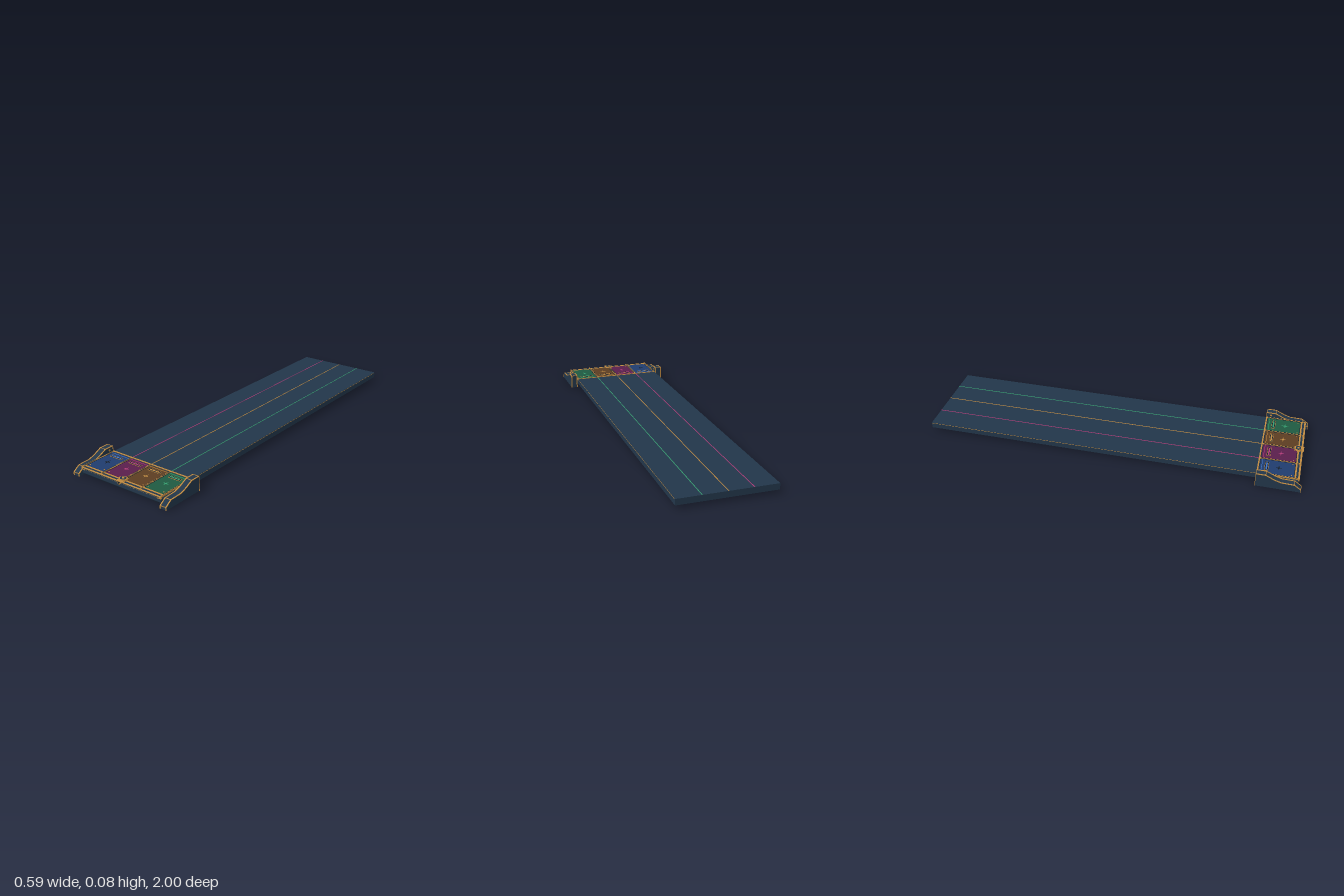
import * as THREE from 'three';
import { RoundedBoxGeometry } from 'three/addons/geometries/RoundedBoxGeometry.js';

const mat = (name, color) => {
  const m = new THREE.MeshStandardMaterial({ color });
  m.name = name;
  return m;
};

export function createModel() {
  const root = new THREE.Group();
  root.name = 'laneBoard';
  const navy = mat('navy', 0x22364a);
  const dark = mat('darkNavy', 0x151f2a);
  const gold = mat('gold', 0xc08a40);
  const blue = mat('blue', 0x203c6e);
  const magenta = mat('magenta', 0x5a1e4c);
  const brown = mat('brown', 0x5c3d22);
  const green = mat('green', 0x1f5a42);
  const sky = mat('brightBlue', 0x3f74c8);
  const pink = mat('brightPink', 0xb03a78);
  const mint = mat('brightGreen', 0x35a070);

  const add = (name, geo, m, x = 0, y = 0, z = 0, parent = root) => {
    const mesh = new THREE.Mesh(geo, m);
    mesh.name = name;
    mesh.position.set(x, y, z);
    parent.add(mesh);
    return mesh;
  };
  // box given by its limits
  const box = (name, m, x0, x1, y0, y1, z0, z1, parent = root) =>
    add(name, new THREE.BoxGeometry(x1 - x0, y1 - y0, z1 - z0), m,
      (x0 + x1) / 2, (y0 + y1) / 2, (z0 + z1) / 2, parent);

  // long deck with lane lines
  box('deck', navy, -0.25, 0.25, 0.018, 0.049, -1, 0.78);
  [[-0.125, pink], [0, gold], [0.125, mint]].forEach(([x, m]) =>
    box('laneLine', m, x - 0.0018, x + 0.0018, 0.0485, 0.0502, -1, 0.78));
  for (const s of [-1, 1])
    add('deckEdgeLine', new THREE.BoxGeometry(0.001, 0.0018, 1.77), gold, s * 0.2503, 0.0465, -0.11);

  // front housing
  add('housing', new RoundedBoxGeometry(0.505, 0.026, 0.215, 3, 0.007), navy, 0, 0.028, 0.878);
  box('housingTop', dark, -0.247, 0.247, 0.036, 0.045, 0.772, 0.984);
  box('basePlate', dark, -0.23, 0.23, 0.01, 0.018, 0.78, 0.978);
  box('frontTrim', gold, -0.25, 0.25, 0.041, 0.047, 0.978, 0.987);
  box('frontTrimInset', navy, -0.24, 0.24, 0.0425, 0.0455, 0.986, 0.9875);
  box('frontLip', gold, -0.245, 0.245, 0.045, 0.0492, 0.96, 0.968);
  box('frontLedge', navy, -0.247, 0.247, 0.044, 0.0475, 0.968, 0.978);
  box('rearTrim', gold, -0.25, 0.25, 0.045, 0.0515, 0.77, 0.777);
  for (let i = 0; i < 5; i++) {
    const x = -0.248 + i * 0.124;
    box('padDivider', gold, x - 0.004, x + 0.004, 0.044, 0.051, 0.772, 0.984);
    box('dividerGroove', dark, x - 0.0012, x + 0.0012, 0.05, 0.0514, 0.78, 0.975);
  }
  for (const s of [-1, 1])
    box('endTrim', gold, s * 0.24 - 0.012, s * 0.24 + 0.012, 0.037, 0.041, 0.98, 0.987);

  // four pads, each with a slot light, a border and a star
  const star = new THREE.Shape();
  for (let i = 0; i < 8; i++) {
    const r = i % 2 ? 0.005 : 0.018, a = i * Math.PI / 4;
    star[i ? 'lineTo' : 'moveTo'](r * Math.cos(a), r * Math.sin(a));
  }
  const starGeo = new THREE.ExtrudeGeometry(star, { depth: 0.001, bevelEnabled: false }).rotateX(-Math.PI / 2);
  [[blue, sky], [magenta, pink], [brown, gold], [green, mint]].forEach(([base, bright], i) => {
    const pad = new THREE.Group();
    pad.name = 'pad';
    pad.position.x = -0.186 + i * 0.124;
    root.add(pad);
    box('padPlate', base, -0.055, 0.055, 0.044, 0.0495, 0.782, 0.957, pad);
    for (const s of [-1, 1])
      box('padSideLine', dark, s * 0.0575 - 0.0012, s * 0.0575 + 0.0012, 0.044, 0.05, 0.782, 0.957, pad);
    box('padRearLine', bright, -0.055, 0.055, 0.049, 0.0505, 0.79, 0.7925, pad);
    box('slotFrame', gold, -0.036, 0.036, 0.049, 0.0508, 0.806, 0.826, pad);
    box('slot', dark, -0.034, 0.034, 0.0505, 0.0512, 0.808, 0.824, pad);
    box('slotLight', bright, -0.03, 0.03, 0.051, 0.0518, 0.812, 0.82, pad);
    add('padStar', starGeo, i ? bright : dark, 0, 0.0493, 0.878, pad);
    for (const s of [-1, 1])
      add('padStud', new THREE.CylinderGeometry(0.003, 0.003, 0.002, 8), gold, s * 0.046, 0.05, 0.945, pad);
  });

  // central emblem: a bevelled hexagon plate with a V on the front face
  const plate = (name, r, m, y, h) => {
    const mesh = add(name, new THREE.CylinderGeometry(r * 0.85, r, h, 6), m, 0, y, 0.962);
    mesh.rotation.y = Math.PI / 2;
    mesh.scale.x = 0.85;
  };
  plate('emblemRim', 0.028, gold, 0.0505, 0.011);
  plate('emblemFace', 0.021, navy, 0.0532, 0.007);
  plate('emblemGem', 0.009, gold, 0.0545, 0.006);
  const tri = (w, y0, y1) => new THREE.Shape([
    new THREE.Vector2(-w, y1), new THREE.Vector2(0, y0), new THREE.Vector2(w, y1)]);
  add('emblemPoint', new THREE.ExtrudeGeometry(tri(0.02, 0.033, 0.052), { depth: 0.014, bevelEnabled: false }),
    gold, 0, 0, 0.978);
  add('emblemPointInset', new THREE.ExtrudeGeometry(tri(0.01, 0.039, 0.049), { depth: 0.002, bevelEnabled: false }),
    dark, 0, 0, 0.991);

  // side brackets: profile as [z, y], from the bottom front over the top to the back
  const profile = [[0.999, 0], [0.999, 0.015], [0.965, 0.039], [0.9, 0.041],
    [0.865, 0.052], [0.82, 0.074], [0.771, 0.074], [0.771, 0]];
  const shape = new THREE.Shape(profile.map(([z, y]) => new THREE.Vector2(-z, y)));
  const bodyGeo = new THREE.ExtrudeGeometry(shape, { depth: 0.036, bevelEnabled: false });
  bodyGeo.rotateY(Math.PI / 2);
  for (const s of [-1, 1]) {
    const bracket = new THREE.Group();
    bracket.name = s > 0 ? 'leftBracket' : 'rightBracket';
    bracket.position.x = s * 0.2745;
    root.add(bracket);
    add('bracketBody', bodyGeo, navy, -0.018, 0, 0, bracket);
    // gold edging along the outline
    for (let i = 0; i < profile.length - 1; i++) {
      const [z0, y0] = profile[i], [z1, y1] = profile[i + 1];
      const len = Math.hypot(z1 - z0, y1 - y0);
      for (const e of [-1, 1]) {
        const bar = add('bracketEdge', new THREE.BoxGeometry(0.006, 0.0025, len), gold,
          e * 0.0165, (y0 + y1) / 2, (z0 + z1) / 2, bracket);
        bar.rotation.x = -Math.atan2(y1 - y0, z1 - z0);
      }
    }
    // cross bars on the creases
    for (const i of [1, 2, 5, 6])
      add('bracketCrossBar', new THREE.BoxGeometry(0.036, 0.0025, 0.0025), gold,
        0, profile[i][1], profile[i][0], bracket);
    // bolt on the inner face
    const bolt = add('bracketBolt', new THREE.CylinderGeometry(0.005, 0.005, 0.003, 10), gold,
      -s * 0.0185, 0.06, 0.795, bracket);
    bolt.rotation.z = Math.PI / 2;
  }
  return root;
}
